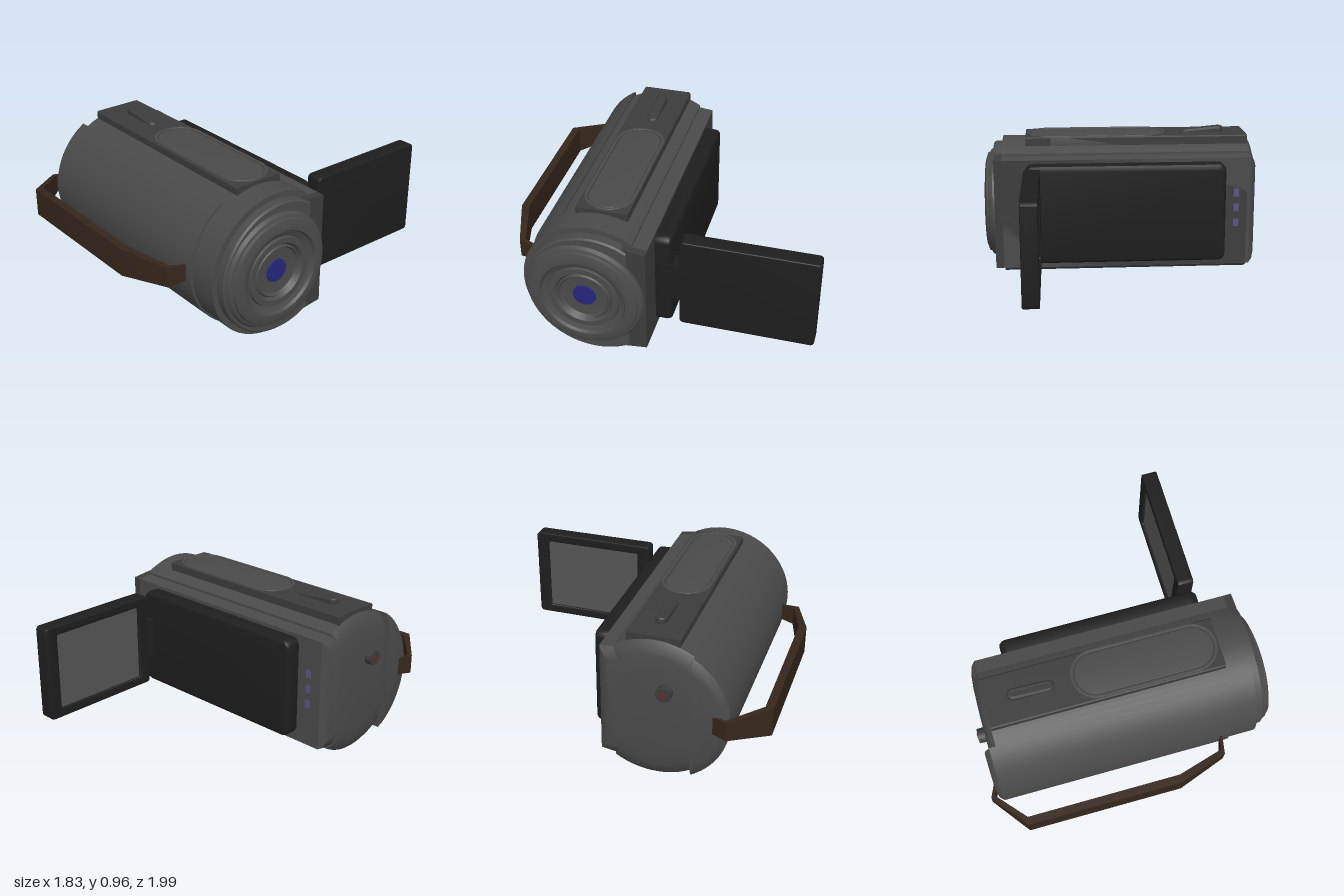
import * as THREE from 'three';
import { toCreasedNormals } from 'three/addons/utils/BufferGeometryUtils.js';

const mat = (color) => new THREE.MeshStandardMaterial({ color });
const V = (x, y, z) => new THREE.Vector3(x, y, z);
const CY = 0.452, CZ = 0.31, R = 0.452; // centre and radius of the round body

// Skin over closed rings of points, with fan caps at both ends
function skin(rings) {
  const n = rings[0].length, pos = [], idx = [];
  rings.forEach((r) => r.forEach((p) => pos.push(p.x, p.y, p.z)));
  for (let i = 0; i < rings.length - 1; i++) {
    for (let j = 0; j < n; j++) {
      const a = i * n + j, b = i * n + (j + 1) % n;
      idx.push(a, a + n, b, b, a + n, b + n);
    }
  }
  [0, rings.length - 1].forEach((i) => {
    const c = pos.length / 3, mid = V(0, 0, 0);
    rings[i].forEach((p) => mid.addScaledVector(p, 1 / n));
    pos.push(mid.x, mid.y, mid.z);
    for (let j = 0; j < n; j++) {
      const a = i * n + j, b = i * n + (j + 1) % n;
      if (i === 0) idx.push(c, a, b);
      else idx.push(c, b, a);
    }
  });
  const g = new THREE.BufferGeometry();
  g.setAttribute('position', new THREE.Float32BufferAttribute(pos, 3));
  g.setIndex(idx);
  return toCreasedNormals(g, 0.45);
}

// Section [z, y] carried along x; stations are [x, scale]
const loft = (section, stations, cz = CZ) => skin(stations.map(([x, s]) =>
  section.map(([z, y]) => V(x, CY + (y - CY) * s, cz + (z - cz) * s))));

// Arc of the body circle, symmetric about +z
function arc(radius, halfAngle, steps) {
  return Array.from({ length: steps + 1 }, (_, i) => {
    const a = -halfAngle + (2 * halfAngle * i) / steps;
    return [CZ + radius * Math.cos(a), CY + radius * Math.sin(a)];
  });
}

function roundRect(w, h, r, target = new THREE.Shape()) {
  const x = w / 2, y = h / 2;
  target.moveTo(-x + r, -y);
  target.lineTo(x - r, -y);
  target.absarc(x - r, -y + r, r, -Math.PI / 2, 0);
  target.lineTo(x, y - r);
  target.absarc(x - r, y - r, r, 0, Math.PI / 2);
  target.lineTo(-x + r, y);
  target.absarc(-x + r, y - r, r, Math.PI / 2, Math.PI);
  target.lineTo(-x, -y + r);
  target.absarc(-x + r, -y + r, r, Math.PI, Math.PI * 1.5);
  return target;
}

// Extrusion centred on its depth; bevel stays inside the outline
function slab(shape, depth, bevel = 0) {
  const g = new THREE.ExtrudeGeometry(shape, {
    depth: depth - 2 * bevel, bevelEnabled: bevel > 0, bevelSize: bevel, bevelOffset: -bevel,
    bevelThickness: bevel, bevelSegments: 3, curveSegments: 12,
  });
  g.translate(0, 0, -depth / 2 + bevel);
  return toCreasedNormals(g, 0.5);
}

export function createModel() {
  const model = new THREE.Group();
  const body = mat(0x4a4a4a), dark = mat(0x1e1e1e), mid = mat(0x3c3c3c), strapMat = mat(0x35261b);
  const add = (name, geo, m, x = 0, y = 0, z = 0, parent = model) => {
    const mesh = new THREE.Mesh(geo, m);
    mesh.name = name;
    mesh.position.set(x, y, z);
    parent.add(mesh);
    return mesh;
  };

  // Main body: round barrel with a flat side, domed at the rear
  const cut = Math.PI - Math.acos(0.24 / R);
  const barrel = arc(R, cut, 56);
  add('body', loft([[-0.02, 0.1], [0.07, 0.085], ...barrel, [0.07, 0.82], [-0.02, 0.81]],
    [[-0.85, 0.62], [-0.84, 0.82], [-0.825, 0.93], [-0.8, 1], [0.8, 1]]), body);
  add('frontCollar', loft(barrel, [[0.79, 0.92], [0.85, 0.92], [0.86, 0.9]]), body);
  add('sideBlock', loft([[-0.02, 0.1], [0.12, 0.085], [0.12, 0.825], [-0.02, 0.81]],
    [[-0.78, 1], [0.85, 1]]), mid);

  // Hand grip shell wrapping the rounded side
  add('gripShell', loft(arc(0.463, 1.03, 36),
    [[-0.875, 0.8], [-0.865, 0.9], [-0.84, 1], [0.62, 1]], 0.548), body);

  // Lens: stepped rings around a recessed glass
  const lens = new THREE.Group();
  lens.name = 'lens';
  lens.position.set(0, 0.455, 0.352);
  model.add(lens);
  const profile = [[0.362, 0.82], [0.362, 0.865], [0.35, 0.885], [0.335, 0.89], [0.33, 0.905],
    [0.29, 0.918], [0.265, 0.916], [0.255, 0.9], [0.22, 0.885], [0.215, 0.9], [0.18, 0.9],
    [0.165, 0.88], [0.155, 0.89], [0.145, 0.875], [0.075, 0.868], [0, 0.868]]
    .map(([r, x]) => new THREE.Vector2(r, x));
  const rings = toCreasedNormals(new THREE.LatheGeometry(profile, 56), 0.4);
  rings.rotateZ(-Math.PI / 2);
  add('lensRings', rings, body, 0, 0, 0, lens);
  const glass = new THREE.CylinderGeometry(0.07, 0.072, 0.012, 40);
  glass.rotateZ(-Math.PI / 2);
  add('lensGlass', glass, mat(0x26267c), 0.87, 0, 0, lens);

  // Top plate, oval pad and rocker button
  add('topPlate', loft([[0.14, 0.8], [0.46, 0.8], [0.46, 0.92], [0.452, 0.927], [0.148, 0.927], [0.14, 0.92]],
    [[-0.8, 1], [0.6, 1], [0.65, 0.995]]), mid);
  const rim = roundRect(0.91, 0.31, 0.154);
  rim.holes.push(roundRect(0.87, 0.27, 0.134, new THREE.Path()));
  const rimGeo = slab(rim, 0.09, 0.004);
  rimGeo.rotateX(-Math.PI / 2);
  add('topPadRim', rimGeo, body, 0.185, 0.89, 0.295);
  const padGeo = slab(roundRect(0.86, 0.26, 0.129), 0.06, 0.004);
  padGeo.rotateX(-Math.PI / 2);
  add('topPad', padGeo, body, 0.185, 0.9, 0.295);
  const rocker = slab(roundRect(0.29, 0.07, 0.034), 0.06, 0.015);
  rocker.rotateX(-Math.PI / 2);
  const rp = rocker.attributes.position; // lower the front end of the rocker
  for (let i = 0; i < rp.count; i++) rp.setY(i, rp.getY(i) - Math.max(0, rp.getX(i)) * 0.18);
  rocker.computeVertexNormals();
  add('zoomRocker', rocker, mid, -0.515, 0.935, 0.295);

  // Screen bay on the flat side
  add('screenBay', slab(roundRect(1.28, 0.64, 0.05), 0.12, 0.03), dark, 0.01, 0.47, -0.06);
  for (let i = 0; i < 3; i++) {
    add('sideIndicator', new THREE.BoxGeometry(0.035, 0.05, 0.006), mat(0x5a5288),
      -0.71, 0.58 - i * 0.1, -0.021);
  }

  // Swung-out screen: hinge, frame, back and display
  const screen = new THREE.Group();
  screen.name = 'foldOutScreen';
  screen.position.set(0.605, 0.48, -0.585);
  model.add(screen);
  add('hinge', new THREE.BoxGeometry(0.1, 0.26, 0.12), dark, 0, 0, 0.44, screen);
  const frame = roundRect(0.83, 0.62, 0.025);
  frame.holes.push(roundRect(0.66, 0.5, 0.01, new THREE.Path()));
  const frameGeo = slab(frame, 0.1, 0.008);
  frameGeo.rotateY(Math.PI / 2);
  add('screenFrame', frameGeo, dark, 0, 0, 0, screen);
  const backGeo = slab(roundRect(0.83, 0.62, 0.025), 0.06, 0.01);
  backGeo.rotateY(Math.PI / 2);
  add('screenBack', backGeo, dark, 0.022, 0, 0, screen);
  add('display', new THREE.BoxGeometry(0.02, 0.51, 0.67), mat(0x555555), -0.025, 0, 0, screen);

  // Hand strap: [x, z, half height, half thickness]
  const path = [[-0.85, 0.64, 0.055, 0.008], [-0.9, 0.76, 0.06, 0.014], [-0.73, 0.967, 0.09, 0.025],
    [0.24, 0.967, 0.09, 0.025], [0.54, 0.87, 0.062, 0.018], [0.57, 0.75, 0.05, 0.006]];
  const strap = path.map(([x, z, h, t], i) => {
    const a = path[Math.max(i - 1, 0)], b = path[Math.min(i + 1, path.length - 1)];
    const l = Math.hypot(b[0] - a[0], b[1] - a[1]);
    const nx = (-(b[1] - a[1]) / l) * t, nz = ((b[0] - a[0]) / l) * t;
    return [[1, -1], [1, 1], [-1, 1], [-1, -1]].map(([s, u]) => V(x + nx * s, 0.455 + h * u, z + nz * s));
  });
  add('handStrap', skin(strap), strapMat);

  // Record button on the rear
  const knob = new THREE.CylinderGeometry(0.045, 0.048, 0.07, 24);
  knob.rotateZ(Math.PI / 2);
  add('recordButton', knob, mid, -0.86, 0.61, 0.39);
  const dot = new THREE.CylinderGeometry(0.02, 0.02, 0.01, 20);
  dot.rotateZ(Math.PI / 2);
  add('recordDot', dot, mat(0x6a2a2a), -0.895, 0.61, 0.39);

  return model;
}
